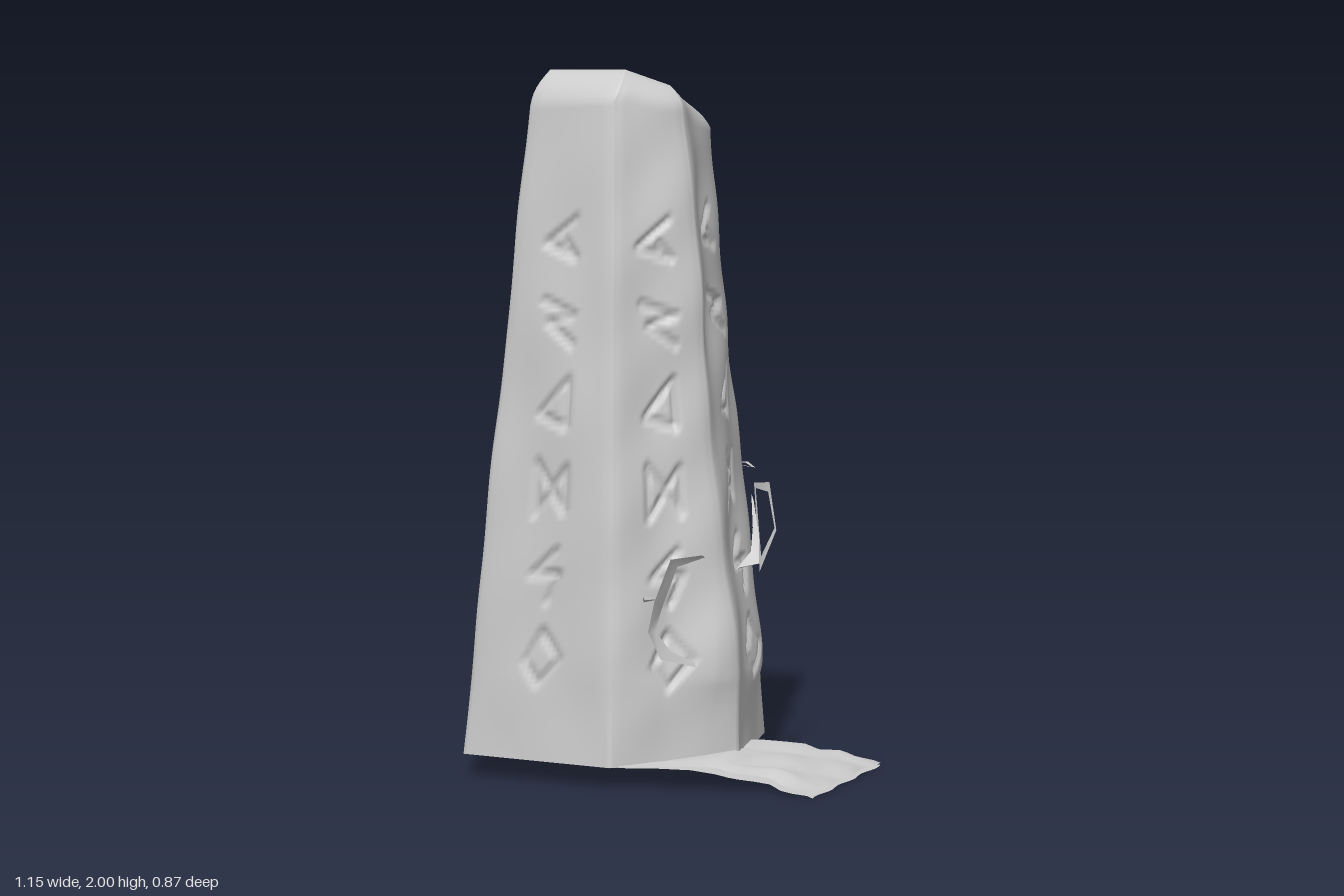
import * as THREE from 'three';

const V = (x, y, z) => new THREE.Vector3(x, y, z);
const stone = new THREE.MeshStandardMaterial({ color: 0xcccccc, roughness: 0.9 });
const thin = new THREE.MeshStandardMaterial({ color: 0xcccccc, roughness: 0.9, side: THREE.DoubleSide });

// Six corners of the pillar at the base, the rim and the edge of the slanted top
const base = [V(-0.23, 0.06, -0.438), V(0.2, 0.06, -0.315), V(0.28, 0.06, 0.175),
  V(-0.02, 0.06, 0.433), V(-0.49, 0.06, 0.305), V(-0.578, 0.06, -0.14)];
const rim = [V(-0.19, 1.76, -0.253), V(0.065, 1.78, -0.22), V(0.1, 1.88, 0.11),
  V(-0.07, 1.92, 0.235), V(-0.335, 1.89, 0.18), V(-0.375, 1.81, -0.06)];
const crown = [V(-0.18, 1.875, -0.15), V(0.01, 1.88, -0.13), V(0.05, 1.95, 0.09),
  V(-0.06, 2, 0.16), V(-0.29, 1.985, 0.13), V(-0.31, 1.93, -0.02)];
const middle = Array.from({ length: 6 }, () => V(-0.14, 1.94, 0.01));

// Carved angular marks, each a run of points across a unit cell, from top to bottom
const marks = [
  [[0.6, 1], [-0.9, 0], [0.7, -0.5], [0.1, 0.1]],
  [[-0.8, 0.8], [0.8, 0.3], [-0.5, 0], [0.8, -0.8]],
  [[0.7, 1], [-0.8, -0.4], [0.7, -0.8], [0.7, 1]],
  [[-0.8, -1], [-0.8, 1], [0.8, -0.8], [0.8, 0.9], [-0.8, -1]],
  [[0.5, 1], [-0.8, 0], [0.7, 0.1], [0.1, -1]],
  [[-0.1, 1], [0.9, 0], [-0.2, -1], [-0.9, -0.2], [-0.1, 1]],
];
const markY = [1.51, 1.29, 1.06, 0.82, 0.58, 0.35];

function segmentDistance(px, py, ax, ay, bx, by) {
  const dx = bx - ax, dy = by - ay;
  const k = THREE.MathUtils.clamp(((px - ax) * dx + (py - ay) * dy) / (dx * dx + dy * dy), 0, 1);
  return Math.hypot(px - ax - k * dx, py - ay - k * dy);
}

// Depth of the V-shaped groove at a point of a face
function grooveDepth(u, y) {
  const row = markY.findIndex((c) => Math.abs(c - y) < 0.105);
  if (row < 0 || Math.abs(u) > 0.09) return 0;
  const mark = marks[row];
  let d = 1;
  for (let i = 0; i + 1 < mark.length; i++) {
    const [a, b] = [mark[i], mark[i + 1]];
    d = Math.min(d, segmentDistance(u, y - markY[row], a[0] * 0.06, a[1] * 0.075, b[0] * 0.06, b[1] * 0.075));
  }
  return 0.015 * Math.max(0, 1 - d / 0.014);
}

// Weathered unevenness: long upright ripples, stronger on the right, with a swollen right foot
function weather(p, t) {
  const n = Math.sin(p.y * 4 + p.x * 16) * Math.sin(p.z * 19 + p.y * 3)
    + 0.5 * Math.sin(p.y * 15 + p.z * 13 + 1) * Math.cos(p.x * 15 - p.y * 4);
  const swell = p.x > 0.1 ? 0.025 * Math.min(1, (p.x - 0.1) * 10) * Math.exp(-(((p.y - 0.35) / 0.2) ** 2)) : 0;
  const size = 0.005 + 0.007 * THREE.MathUtils.smoothstep(p.x, -0.1, 0.1);
  return n * size + swell + 0.008 * Math.sin(Math.PI * t);
}

// Triangles of a grid; wrap joins the last column to the first
function gridGeometry(points, cols, rows, wrap) {
  const index = [], span = wrap ? cols : cols - 1;
  for (let j = 0; j + 1 < rows; j++) for (let i = 0; i < span; i++) {
    const a = j * cols + i, b = j * cols + (i + 1) % cols;
    index.push(a, a + cols, b, b, a + cols, b + cols);
  }
  const g = new THREE.BufferGeometry().setFromPoints(points);
  g.setIndex(index);
  g.computeVertexNormals();
  return g;
}

function pillarGeometry() {
  const n = 36, points = [];
  const sections = [[base, rim, 140], [rim, crown, 6], [crown, middle, 8]];
  let rows = 0;
  sections.forEach(([low, high, steps], s) => {
    for (let j = s ? 1 : 0; j <= steps; j++, rows++) {
      const t = j / steps;
      const ring = low.map((p, i) => p.clone().lerp(high[i], t));
      for (let f = 0; f < 6; f++) for (let i = 0; i < n; i++) {
        const a = ring[f], b = ring[(f + 1) % 6], k = i / n;
        const p = a.clone().lerp(b, k), width = a.distanceTo(b);
        const normal = V(b.z - a.z, 0, a.x - b.x).normalize();
        const out = V(p.x + 0.14, 0, p.z).normalize();
        const edge = Math.min(k, 1 - k) * width;
        const round = 0.005 * Math.exp(-((edge / 0.018) ** 2));
        if (s === 0) {
          const groove = grooveDepth((0.5 - k) * width, p.y);
          p.addScaledVector(out, Math.min(1, t * 8) * (weather(p, t) - round));
          p.addScaledVector(normal, -groove);
        } else if (s === 1) {
          p.addScaledVector(out, (1 - t) * (weather(p, 1) - round) + 0.012 * Math.sin(Math.PI * t));
        } else {
          p.y += 0.006 * Math.sin(t * Math.PI) * Math.sin(p.x * 25 + p.z * 18);
        }
        points.push(p);
      }
    }
  });
  return gridGeometry(points, n * 6, rows, true);
}

// Flat underside of the pillar
function undersideGeometry() {
  const shape = new THREE.Shape(base.map((p) => new THREE.Vector2(p.x, p.z)));
  return new THREE.ShapeGeometry(shape).rotateX(Math.PI / 2).translate(0, 0.06, 0);
}

// Ragged sheet of ground spilling from the foot: x, back z, front z, top, underside
const slabOutline = [[0, -0.02, 0.425, 0.066, 0.06], [0.1, -0.06, 0.4, 0.07, 0.06],
  [0.2, -0.12, 0.375, 0.078, 0.056], [0.27, -0.13, 0.37, 0.085, 0.047],
  [0.31, -0.135, 0.375, 0.075, 0.04], [0.34, -0.14, 0.375, 0.07, 0.036], [0.38, -0.19, 0.35, 0.062, 0.028],
  [0.42, -0.185, 0.335, 0.056, 0.02], [0.47, -0.23, 0.39, 0.045, 0.012], [0.51, -0.2, 0.405, 0.036, 0.008],
  [0.55, -0.22, 0.4, 0.022, 0.003], [0.572, -0.22, 0.42, 0.012, 0]];

function slabGeometry(lower) {
  const cols = 33, points = [];
  for (const [x, back, front, top, bottom] of slabOutline) for (let i = 0; i < cols; i++) {
    const k = i / (cols - 1), z = THREE.MathUtils.lerp(back, front, k);
    const lump = 0.014 * (Math.abs(Math.sin(z * 13 + x * 8) * Math.cos(x * 17 - z * 4)) - 0.5);
    const fade = THREE.MathUtils.smoothstep(x, 0.15, 0.3) * (x > 0.56 ? 0.3 : 1);
    const rim = Math.min(1, Math.min(k, 1 - k) * 8);
    const y = lower ? bottom : THREE.MathUtils.lerp((top + bottom) / 2, top + lump * fade, rim);
    points.push(V(x + (x > 0.56 ? 0.005 * Math.sin(z * 30) : 0), y, z));
  }
  return gridGeometry(points, cols, slabOutline.length, false);
}

// Flat shard between two edges
function shard(edgeA, edgeB) {
  return gridGeometry([...edgeA, ...edgeB], edgeA.length, 2, false);
}

// Closed shard with an open middle
function hollowShard(points, inset) {
  const centre = points.reduce((sum, p) => sum.add(p), V(0, 0, 0)).divideScalar(points.length);
  const inner = points.map((p, i) => p.clone().lerp(centre, inset * (i % 2 ? 1.4 : 0.8)));
  return gridGeometry([...points, ...inner], points.length, 2, true);
}

export function createModel() {
  const group = new THREE.Group();
  group.name = 'standingStone';
  const add = (name, geometry, material = thin) => {
    const mesh = new THREE.Mesh(geometry, material);
    mesh.name = name;
    group.add(mesh);
  };

  add('pillar', pillarGeometry(), stone);
  add('underside', undersideGeometry(), stone);
  add('groundSlabTop', slabGeometry(false));
  add('groundSlabBottom', slabGeometry(true));

  // Loose splinters peeling off the faces
  add('curvedSplinter', shard(
    [V(0.2, 0.65, 0.27), V(0.13, 0.645, 0.34), V(0.095, 0.53, 0.38), V(0.07, 0.44, 0.36), V(0.1, 0.36, 0.34), V(0.18, 0.33, 0.26)],
    [V(0.2, 0.64, 0.24), V(0.14, 0.62, 0.31), V(0.1, 0.5, 0.33), V(0.085, 0.44, 0.34), V(0.12, 0.38, 0.31), V(0.18, 0.34, 0.25)]));
  add('framedSplinter', hollowShard([V(0.23, 0.8, -0.12), V(0.25, 0.79, -0.2),
    V(0.28, 0.66, -0.17), V(0.25, 0.55, -0.11)], 0.2));
  add('backSplinter', hollowShard([V(0.055, 0.815, -0.35), V(0.12, 0.81, -0.415), V(0.18, 0.815, -0.29)], 0.3));
  add('sideSplinter', shard([V(0.26, 0.79, 0), V(0.28, 0.7, 0.05), V(0.29, 0.64, 0.1), V(0.27, 0.6, 0.17)],
    [V(0.27, 0.77, 0.01), V(0.305, 0.68, 0.07), V(0.32, 0.61, 0.12), V(0.28, 0.605, 0.17)]));
  add('upperSplinter', shard([V(-0.03, 1.53, -0.23), V(0.02, 1.515, -0.31)], [V(0.04, 1.5, -0.22), V(0.025, 1.51, -0.31)]));
  add('frontSplinter', shard([V(0.05, 0.52, 0.34), V(0.075, 0.55, 0.425)], [V(0.1, 0.53, 0.32), V(0.08, 0.54, 0.425)]));
  return group;
}
